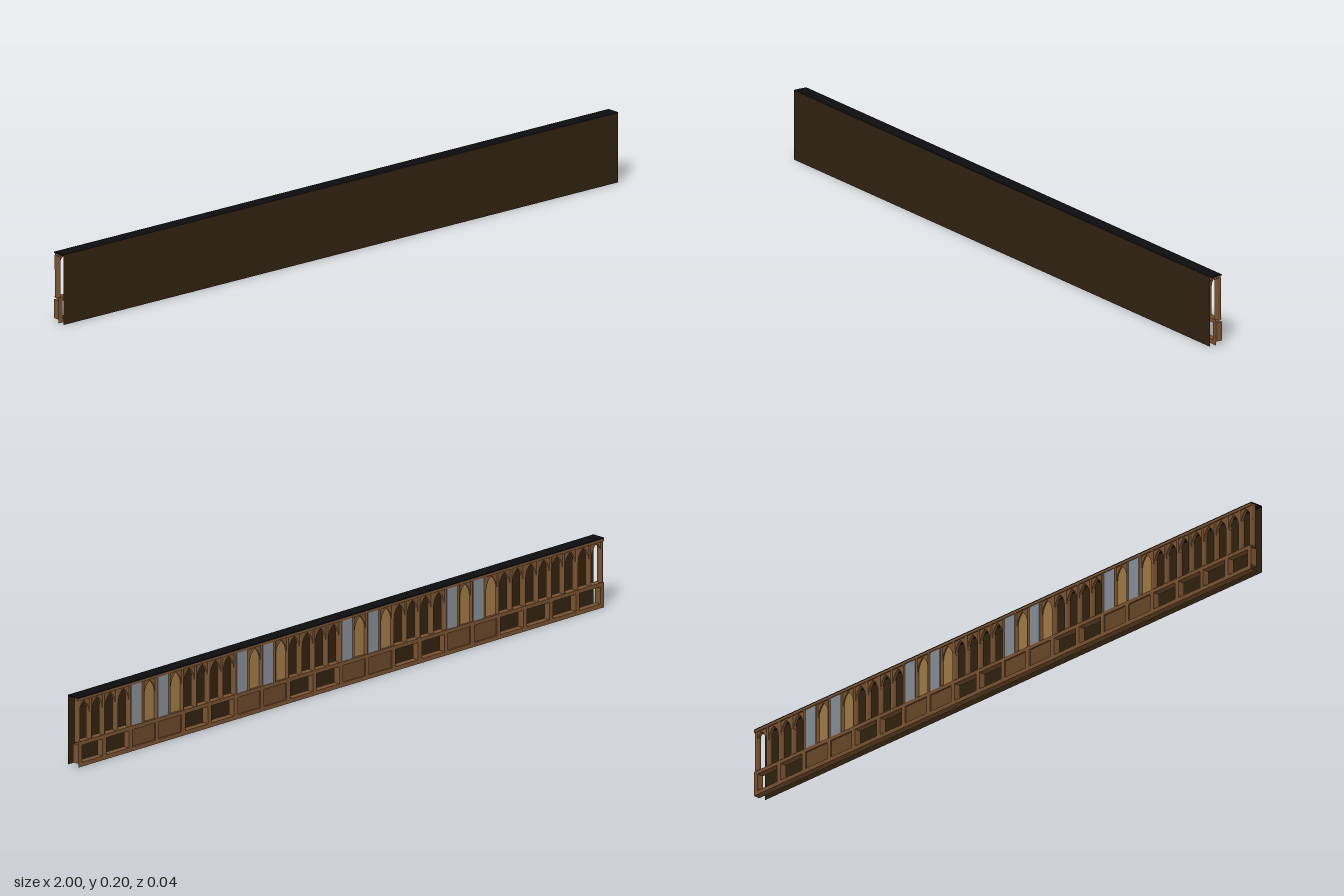
import * as THREE from 'three';

const mat = (name, color, side = THREE.FrontSide) => {
  const m = new THREE.MeshStandardMaterial({ color, side });
  m.name = name;
  return m;
};

export function createModel() {
  const model = new THREE.Group();
  model.name = 'arcadeWall';

  const darkWood = mat('darkWood', 0x30220f, THREE.DoubleSide);
  const wood = mat('wood', 0x7a5230);
  const panelWood = mat('panelWood', 0x6a4828);
  const tan = mat('tanPanel', 0xa07a46, THREE.DoubleSide);
  const grey = mat('greyPanel', 0x868e96, THREE.DoubleSide);
  const black = mat('blackTop', 0x0c0c0e);

  const add = (name, geo, material, x, y, z) => {
    const m = new THREE.Mesh(geo, material);
    m.name = name;
    m.position.set(x, y, z);
    model.add(m);
    return m;
  };

  const midZ = -0.01;
  const bay = 0.05;        // one arch
  const cell = 0.2;        // four arches

  // Flat board on the front, and the cover along the top
  add('frontBoard', new THREE.PlaneGeometry(2, 0.2), darkWood, 0, 0.1, 0.02);
  add('topCover', new THREE.BoxGeometry(2, 0.003, 0.04), black, 0, 0.1985, 0);

  // Long rails, open at the ends
  const rail = (name, y, height) => {
    const geo = new THREE.CylinderGeometry(Math.SQRT1_2, Math.SQRT1_2, 1, 4, 1, true).toNonIndexed();
    geo.rotateY(Math.PI / 4).rotateZ(Math.PI / 2);
    geo.scale(2, height, 0.02);
    geo.computeVertexNormals();
    add(name, geo, wood, 0, y, midZ);
  };
  rail('bottomRail', 0.006, 0.012);
  rail('middleRail', 0.067, 0.011);
  rail('topRail', 0.1935, 0.007);

  // Round columns with a narrow cap
  const columnGeo = new THREE.CylinderGeometry(0.01, 0.01, 0.12, 14).scale(0.55, 1, 1);
  const capGeo = new THREE.BoxGeometry(0.008, 0.007, 0.014);
  const clampX = (x) => THREE.MathUtils.clamp(x, -0.9945, 0.9945);
  for (let i = 0; i <= 40; i++) {
    const x = clampX(1 - i * bay);
    add('column', columnGeo, wood, x, 0.13, midZ);
    add('columnCap', capGeo, wood, x, 0.1935, midZ);
  }

  // Pointed arch head filling the top of each bay
  const w = bay / 2;
  const o = 0.0195;
  const head = new THREE.Shape();
  head.moveTo(-w, 0.15);
  head.lineTo(-o, 0.15);
  head.quadraticCurveTo(-o, 0.172, 0, 0.187);
  head.quadraticCurveTo(o, 0.172, o, 0.15);
  head.lineTo(w, 0.15);
  head.lineTo(w, 0.192);
  head.lineTo(-w, 0.192);
  const headGeo = new THREE.ExtrudeGeometry(head, { depth: 0.009, bevelEnabled: false, curveSegments: 5 });

  // Pointed panel closing an arch
  const fill = new THREE.Shape();
  fill.moveTo(-o, 0.072);
  fill.lineTo(o, 0.072);
  fill.lineTo(o, 0.15);
  fill.quadraticCurveTo(o, 0.172, 0, 0.187);
  fill.quadraticCurveTo(-o, 0.172, -o, 0.15);
  const fillGeo = new THREE.ShapeGeometry(fill, 5);
  const greyGeo = new THREE.BoxGeometry(0.04, 0.119, 0.004);

  const postGeo = new THREE.BoxGeometry(0.014, 0.053, 0.02);
  const lowPanelGeo = new THREE.BoxGeometry(cell, 0.053, 0.012);

  for (let c = 0; c < 10; c++) {
    const closed = c % 2 === 1 && c < 9;
    const start = 1 - c * cell;

    for (let b = 0; b < 4; b++) {
      const x = start - (b + 0.5) * bay;
      if (closed && b % 2 === 0) {
        add('greyPanel', greyGeo, grey, x, 0.1315, -0.016);
      } else {
        add('archHead', headGeo, wood, x, 0, -0.0165);
        if (closed) add('archPanel', fillGeo, tan, x, 0, -0.013);
      }
    }

    // Lower storey: solid panel under closed cells, open between posts elsewhere
    if (closed) add('lowerPanel', lowPanelGeo, panelWood, start - cell / 2, 0.0375, midZ);
    for (let p = 0; p < 2; p++) {
      const x = THREE.MathUtils.clamp(start - p * 0.1, -0.993, 0.993);
      add('lowerPost', postGeo, wood, x, 0.0375, midZ);
    }
  }
  add('lowerPost', postGeo, wood, -0.993, 0.0375, midZ);

  return model;
}
